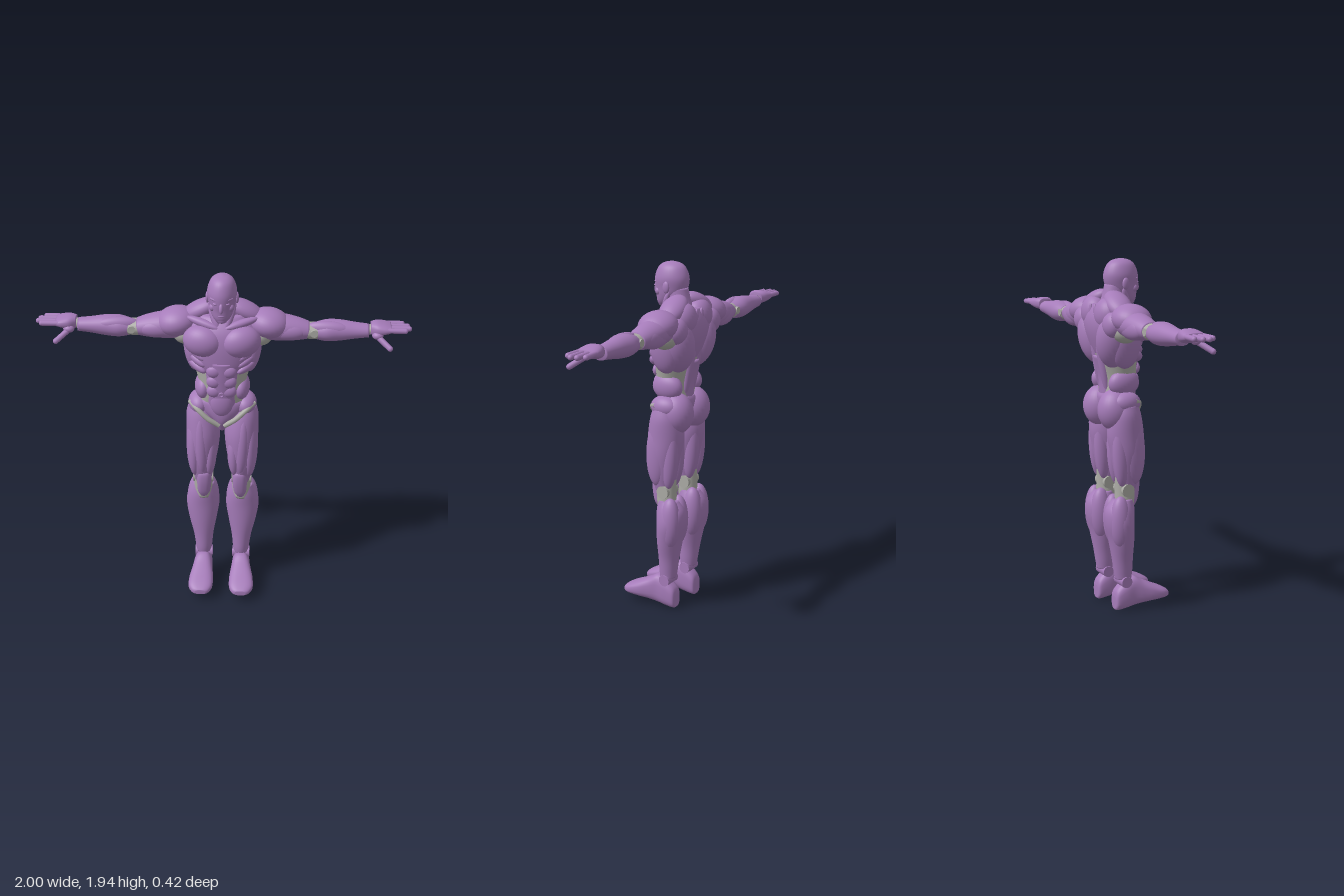
import * as THREE from 'three';

const armour = new THREE.MeshStandardMaterial({ color: 0xa67cba });
armour.name = 'purple muscle';
const under = new THREE.MeshStandardMaterial({ color: 0xacaca6 });
under.name = 'grey joint';
const UP = new THREE.Vector3(0, 1, 0);

const spline = (a, b, c, d, t) =>
  b + 0.5 * t * (c - a + t * (2 * a - 5 * b + 4 * c - d + t * (3 * (b - c) + d - a)));

// Smooth closed skin over sections [position along axis, centre 1, centre 2, radius 1, radius 2]
function loftGeometry(axis, rows, side = 1, square = 1, n = 28, steps = 5) {
  const rings = [];
  const last = rows.length - 1;
  for (let i = 0; i < last; i++) {
    const [a, b, c, d] = [rows[Math.max(i - 1, 0)], rows[i], rows[i + 1], rows[Math.min(i + 2, last)]];
    for (let k = 0; k < steps; k++) rings.push(b.map((_, j) => spline(a[j], b[j], c[j], d[j], k / steps)));
  }
  rings.push(rows[last]);
  const pos = [], idx = [];
  const put = (t, u, v) => {
    const p = axis === 'x' ? [t, u, v] : axis === 'y' ? [u, t, v] : [u, v, t];
    pos.push(p[0] * side, p[1], p[2]);
  };
  const pow = v => Math.sign(v) * Math.abs(v) ** square;
  for (const [t, cu, cv, ru, rv] of rings)
    for (let k = 0; k < n; k++) {
      const a = (k / n) * Math.PI * 2;
      put(t, cu + ru * pow(Math.cos(a)), cv + rv * pow(Math.sin(a)));
    }
  const end = rings.length - 1;
  put(...rings[0]);
  put(...rings[end]);
  // In x and z lofts the winding is mirrored, as it is on the right side
  const flip = (axis === 'y' ? 1 : -1) * side < 0;
  const tri = (a, b, c) => (flip ? idx.push(a, c, b) : idx.push(a, b, c));
  for (let k = 0; k < n; k++) {
    const m = (k + 1) % n;
    for (let r = 0; r < end; r++) {
      const a = r * n + k, b = r * n + m;
      tri(a, a + n, b);
      tri(b, a + n, b + n);
    }
    tri((end + 1) * n, k, m);
    tri((end + 1) * n + 1, end * n + m, end * n + k);
  }
  const g = new THREE.BufferGeometry();
  g.setAttribute('position', new THREE.Float32BufferAttribute(pos, 3));
  g.setIndex(idx);
  // Make sure the skin faces outwards
  let volume = 0;
  const [A, B, C] = [new THREE.Vector3(), new THREE.Vector3(), new THREE.Vector3()];
  for (let i = 0; i < idx.length; i += 3) {
    [A, B, C].forEach((v, j) => v.fromBufferAttribute(g.attributes.position, idx[i + j]));
    volume += A.dot(B.cross(C));
  }
  if (volume < 0) g.setIndex(idx.reverse());
  g.computeVertexNormals();
  return g;
}

export function createModel() {
  const model = new THREE.Group();
  model.name = 'muscular figure';
  const add = (name, geo, mat = armour) => {
    const m = new THREE.Mesh(geo, mat);
    m.name = name;
    model.add(m);
    return m;
  };
  const loft = (name, axis, rows, mat, side, square) => add(name, loftGeometry(axis, rows, side, square), mat);
  const blob = (name, p, r, mat) => {
    const m = add(name, new THREE.SphereGeometry(1, 28, 20), mat);
    m.position.set(...p);
    m.scale.set(...r);
    return m;
  };
  // Spindle-shaped muscle running from a to b
  const muscle = (name, a, b, w, d, mat) => {
    const A = new THREE.Vector3(...a), B = new THREE.Vector3(...b);
    const m = blob(name, A.clone().add(B).multiplyScalar(0.5).toArray(), [w, A.distanceTo(B) / 2, d], mat);
    m.quaternion.setFromUnitVectors(UP, B.sub(A).normalize());
    return m;
  };
  const finger = (name, a, b, r) => {
    const A = new THREE.Vector3(...a), B = new THREE.Vector3(...b);
    const m = add(name, new THREE.CapsuleGeometry(r, A.distanceTo(B) - 2 * r, 6, 12));
    m.position.copy(A).add(B).multiplyScalar(0.5);
    m.quaternion.setFromUnitVectors(UP, B.sub(A).normalize());
  };

  // Head and neck
  loft('head', 'y', [[1.692, 0, 0.035, 0.026, 0.03], [1.72, 0, 0.02, 0.05, 0.056], [1.76, 0, 0, 0.066, 0.08],
    [1.8, 0, -0.008, 0.073, 0.094], [1.85, 0, -0.011, 0.078, 0.097], [1.9, 0, -0.011, 0.064, 0.079],
    [1.925, 0, -0.011, 0.04, 0.05], [1.935, 0, -0.011, 0.008, 0.01]]);
  muscle('nose', [0, 1.815, 0.078], [0, 1.758, 0.092], 0.012, 0.015);
  blob('mouth', [0, 1.737, 0.062], [0.026, 0.012, 0.018]);
  blob('chin', [0, 1.706, 0.053], [0.024, 0.017, 0.019]);
  loft('neck', 'y', [[1.6, 0, -0.075, 0.12, 0.09], [1.67, 0, -0.06, 0.085, 0.085], [1.73, 0, -0.05, 0.064, 0.07],
    [1.8, 0, -0.04, 0.058, 0.062]]);

  // Grey core, ribcage, belly and pelvis
  loft('core', 'y', [[1.06, 0, -0.04, 0.08, 0.07], [1.16, 0, -0.05, 0.14, 0.085], [1.27, 0, -0.035, 0.125, 0.092],
    [1.38, 0, -0.045, 0.145, 0.105], [1.5, 0, -0.06, 0.18, 0.12]], under);
  loft('ribcage', 'y', [[1.39, 0, -0.035, 0.13, 0.105], [1.45, 0, -0.045, 0.175, 0.125], [1.55, 0, -0.06, 0.2, 0.14],
    [1.63, 0, -0.07, 0.19, 0.13], [1.7, 0, -0.08, 0.12, 0.09]]);
  loft('belly', 'y', [[1.1, 0, 0, 0.04, 0.035], [1.18, 0, 0, 0.08, 0.055], [1.28, 0, 0, 0.088, 0.068],
    [1.38, 0, 0.005, 0.095, 0.075], [1.46, 0, 0.005, 0.1, 0.08]]);
  loft('pelvis', 'y', [[1.02, 0, -0.03, 0.02, 0.04], [1.08, 0, -0.035, 0.055, 0.078], [1.14, 0, -0.045, 0.125, 0.095],
    [1.19, 0, -0.05, 0.16, 0.095], [1.215, 0, -0.05, 0.15, 0.085]]);
  const navel = add('navel', new THREE.TorusGeometry(0.011, 0.004, 8, 20));
  navel.position.set(0, 1.275, 0.073);
  blob('lower abdominal', [0, 1.21, 0.035], [0.062, 0.085, 0.033]);
  loft('lower back', 'y', [[1.2, 0, -0.09, 0.06, 0.045], [1.3, 0, -0.1, 0.06, 0.042], [1.42, 0, -0.12, 0.075, 0.05]]);

  for (const s of [1, -1]) {
    const P = (x, y, z) => [s * x, y, z];
    const side = s > 0 ? 'left ' : 'right ';

    // Face details
    blob(side + 'ear', P(0.077, 1.805, -0.02), [0.011, 0.032, 0.02]);
    muscle(side + 'brow', P(0.004, 1.822, 0.08), P(0.06, 1.83, 0.052), 0.01, 0.012);
    blob(side + 'cheekbone', P(0.045, 1.777, 0.045), [0.02, 0.022, 0.02]);
    blob(side + 'eye', P(0.03, 1.806, 0.07), [0.014, 0.007, 0.012]);
    muscle(side + 'neck cord', P(0.066, 1.78, -0.03), P(0.018, 1.635, 0.035), 0.02, 0.022);

    // Chest, belly and back muscles
    const pec = blob(side + 'pectoral', P(0.1, 1.57, 0.022), [0.108, 0.087, 0.076]);
    pec.rotation.set(0, s * 0.2, s * 0.12);
    muscle(side + 'collarbone', P(0.015, 1.648, 0.04), P(0.19, 1.685, -0.03), 0.022, 0.025);
    muscle(side + 'trapezius', P(0.02, 1.755, -0.085), P(0.22, 1.65, -0.1), 0.05, 0.07);
    blob(side + 'upper back', P(0.075, 1.645, -0.13), [0.088, 0.09, 0.07]);
    muscle(side + 'back wing', P(0.07, 1.36, -0.09), P(0.14, 1.66, -0.125), 0.092, 0.098);
    muscle(side + 'side wing', P(0.14, 1.36, -0.06), P(0.175, 1.62, -0.07), 0.05, 0.085);
    muscle(side + 'spine muscle', P(0.033, 1.2, -0.105), P(0.025, 1.7, -0.18), 0.03, 0.03);
    blob(side + 'shoulder blade', P(0.165, 1.6, -0.145), [0.07, 0.07, 0.055]);
    [1.41, 1.345, 1.285].forEach((y, i) =>
      blob(side + 'abdominal', P(0.039, y, 0.06 - i * 0.007), [0.042, 0.037, 0.026]));
    for (let i = 0; i < 3; i++)
      muscle(side + 'rib muscle', P(0.085, 1.4 + i * 0.035, 0.055), P(0.175, 1.44 + i * 0.04, -0.02), 0.024, 0.03);
    blob(side + 'oblique', P(0.1, 1.275, -0.045), [0.05, 0.072, 0.09]);

    // Hips
    blob(side + 'glute', P(0.085, 1.13, -0.09), [0.092, 0.115, 0.098]);
    blob(side + 'hip', P(0.125, 1.17, -0.05), [0.062, 0.062, 0.088]);
    add(side + 'groin band', new THREE.TubeGeometry(new THREE.CatmullRomCurve3(
      [P(0.015, 1.065, 0.035), P(0.075, 1.11, 0.044), P(0.135, 1.165, 0.03), P(0.176, 1.185, -0.02)]
        .map(p => new THREE.Vector3(...p))), 24, 0.014, 10), under);

    // Thigh
    loft(side + 'thigh', 'y', [[0.68, 0.107, -0.03, 0.045, 0.045], [0.73, 0.108, -0.03, 0.056, 0.062],
      [0.8, 0.109, -0.03, 0.071, 0.08], [0.9, 0.108, -0.033, 0.088, 0.095], [1.0, 0.106, -0.04, 0.093, 0.102],
      [1.1, 0.115, -0.045, 0.084, 0.088], [1.16, 0.125, -0.045, 0.06, 0.065]], armour, s);
    muscle(side + 'front thigh muscle', P(0.105, 0.74, 0.015), P(0.12, 1.13, 0.012), 0.045, 0.055);
    muscle(side + 'outer thigh muscle', P(0.15, 0.72, -0.005), P(0.155, 1.12, -0.03), 0.046, 0.07);
    muscle(side + 'inner thigh muscle', P(0.072, 0.73, 0.005), P(0.06, 1.0, 0.005), 0.036, 0.05);
    for (const x of [0.075, 0.14])
      muscle(side + 'hamstring', P(x, 0.71, -0.075), P(x, 1.1, -0.09), 0.042, 0.05);

    // Knee
    loft(side + 'knee joint', 'y', [[0.57, 0.108, -0.05, 0.055, 0.055], [0.66, 0.108, -0.045, 0.052, 0.056],
      [0.78, 0.108, -0.04, 0.05, 0.06]], under, s);
    const hinge = add(side + 'knee hinge', new THREE.CylinderGeometry(0.036, 0.036, 0.112, 28), under);
    hinge.position.set(s * 0.108, 0.69, -0.05);
    hinge.rotation.z = Math.PI / 2;
    loft(side + 'kneecap', 'y', [[0.59, 0.104, -0.005, 0.018, 0.02], [0.625, 0.102, 0, 0.035, 0.03],
      [0.69, 0.1, 0.006, 0.04, 0.036], [0.745, 0.1, 0.008, 0.036, 0.034], [0.765, 0.1, 0.005, 0.02, 0.02]],
    armour, s, 0.8);

    // Lower leg
    loft(side + 'shin', 'y', [[0.18, 0.108, -0.055, 0.043, 0.047], [0.22, 0.108, -0.056, 0.048, 0.053],
      [0.3, 0.11, -0.061, 0.058, 0.06], [0.4, 0.113, -0.069, 0.079, 0.07], [0.5, 0.113, -0.08, 0.094, 0.081],
      [0.58, 0.112, -0.077, 0.083, 0.08], [0.64, 0.11, -0.06, 0.058, 0.055]], armour, s);
    muscle(side + 'inner calf', P(0.075, 0.36, -0.085), P(0.073, 0.66, -0.1), 0.054, 0.062);
    muscle(side + 'outer calf', P(0.15, 0.36, -0.085), P(0.15, 0.66, -0.095), 0.054, 0.062);

    // Ankle and foot
    const ankle = add(side + 'ankle joint', new THREE.CylinderGeometry(0.032, 0.032, 0.1, 24));
    ankle.position.set(s * 0.108, 0.165, -0.055);
    ankle.rotation.z = Math.PI / 2;
    loft(side + 'foot', 'z', [[-0.112, 0.108, 0.045, 0.026, 0.035], [-0.1, 0.108, 0.06, 0.042, 0.06],
      [-0.05, 0.109, 0.085, 0.05, 0.08], [0, 0.11, 0.1, 0.052, 0.086], [0.05, 0.112, 0.091, 0.06, 0.068],
      [0.11, 0.115, 0.08, 0.069, 0.05], [0.17, 0.117, 0.07, 0.068, 0.033], [0.205, 0.116, 0.062, 0.05, 0.022],
      [0.217, 0.115, 0.06, 0.03, 0.014]], armour, s, 0.75);

    // Shoulder and arm
    blob(side + 'armpit', P(0.2, 1.57, -0.09), [0.07, 0.065, 0.075], under);
    const deltoid = blob(side + 'deltoid', P(0.245, 1.638, -0.08), [0.112, 0.078, 0.105]);
    deltoid.rotation.z = s * -0.15;
    loft(side + 'upper arm', 'x', [[0.17, 1.612, -0.088, 0.06, 0.07], [0.24, 1.612, -0.088, 0.07, 0.08],
      [0.32, 1.61, -0.088, 0.071, 0.082], [0.4, 1.604, -0.086, 0.06, 0.07], [0.46, 1.598, -0.085, 0.044, 0.055]],
    armour, s);
    muscle(side + 'biceps', P(0.24, 1.605, -0.05), P(0.45, 1.6, -0.05), 0.05, 0.045);
    muscle(side + 'triceps', P(0.22, 1.6, -0.125), P(0.45, 1.597, -0.12), 0.058, 0.045);
    loft(side + 'elbow joint', 'x', [[0.43, 1.598, -0.084, 0.045, 0.056], [0.49, 1.595, -0.083, 0.043, 0.054],
      [0.54, 1.596, -0.084, 0.045, 0.05]], under, s);
    const pin = add(side + 'elbow hinge', new THREE.CylinderGeometry(0.02, 0.02, 0.118, 20), under);
    pin.position.set(s * 0.485, 1.6, -0.083);
    pin.rotation.x = Math.PI / 2;
    loft(side + 'forearm', 'x', [[0.485, 1.595, -0.086, 0.042, 0.05], [0.55, 1.597, -0.088, 0.057, 0.066],
      [0.62, 1.599, -0.089, 0.056, 0.06], [0.7, 1.6, -0.088, 0.044, 0.05], [0.775, 1.6, -0.088, 0.035, 0.043]],
    armour, s);
    muscle(side + 'forearm muscle', P(0.44, 1.615, -0.075), P(0.68, 1.61, -0.06), 0.045, 0.036);

    // Hand
    loft(side + 'wrist', 'x', [[0.76, 1.605, -0.088, 0.026, 0.032], [0.8, 1.61, -0.088, 0.026, 0.032]], under, s);
    loft(side + 'palm', 'x', [[0.783, 1.617, -0.088, 0.032, 0.038], [0.815, 1.619, -0.085, 0.036, 0.056],
      [0.855, 1.62, -0.086, 0.029, 0.062], [0.89, 1.621, -0.087, 0.018, 0.059]], armour, s, 0.8);
    [[-0.137, 0.965], [-0.105, 0.992], [-0.072, 1], [-0.041, 0.978]].forEach(([z, tip]) =>
      finger(side + 'finger', P(0.855, 1.623, z * 0.95 - 0.002), P(tip, 1.622, z), 0.0145));
    blob(side + 'thumb base', P(0.82, 1.593, -0.043), [0.03, 0.022, 0.027]);
    finger(side + 'thumb', P(0.805, 1.598, -0.05), P(0.895, 1.537, 0.022), 0.0155);
  }
  return model;
}
